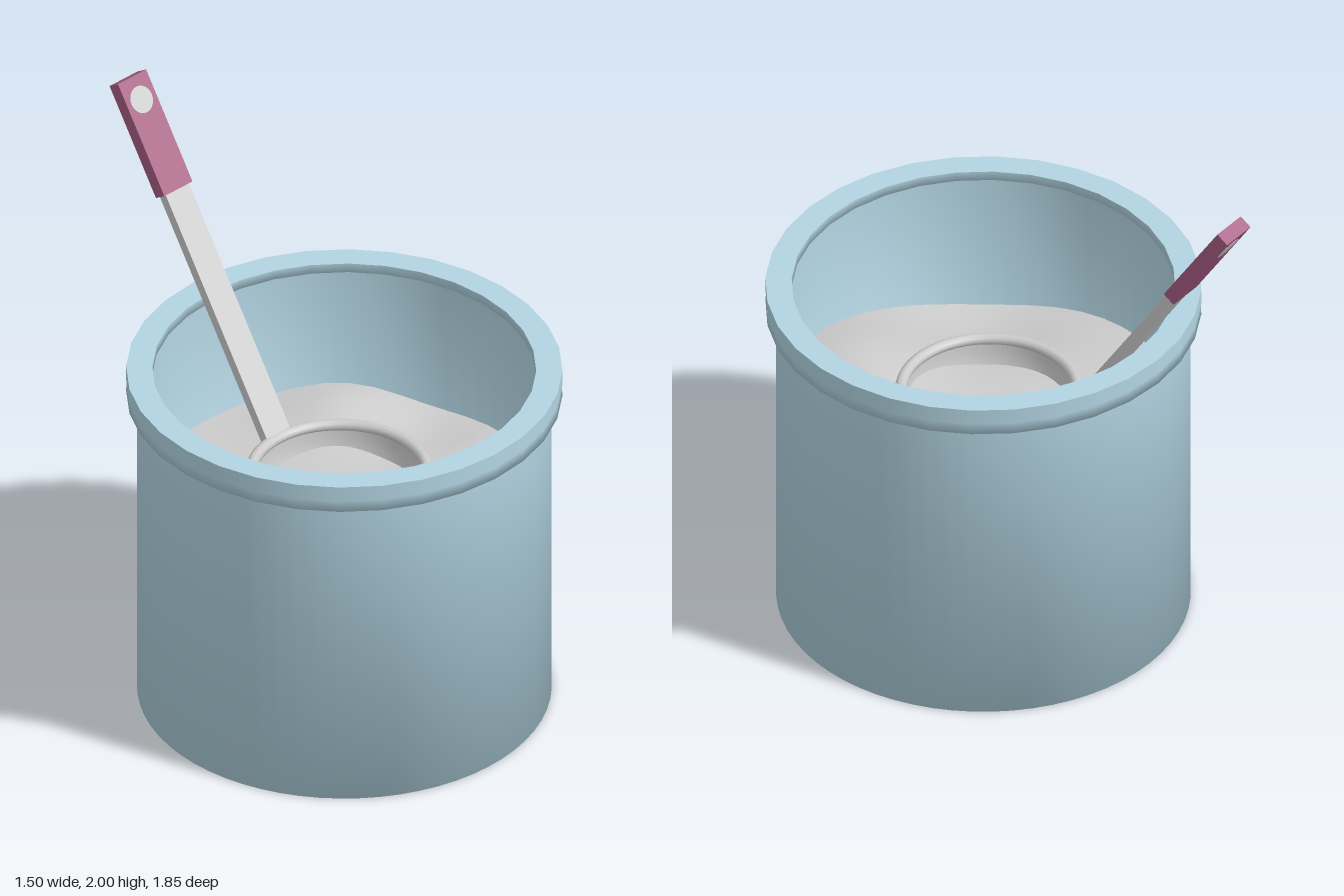
import * as THREE from 'three';

const BIN_Z = 0.175;
const paint = (color) => new THREE.MeshStandardMaterial({ color, side: THREE.DoubleSide });
const lathe = (points, segments) =>
  new THREE.LatheGeometry(points.map(([r, y]) => new THREE.Vector2(r, y)), segments);

// Uneven heap of flour: low mounds and hollows on a level base
function flourHeight(x, z) {
  const bumps = [
    [0.08, 0.68, 0.2, 0.08], [-0.25, 0.25, 0.22, 0.02], [0.36, -0.2, 0.16, 0.06],
    [0.42, 0.72, 0.14, -0.07], [0.5, -0.02, 0.14, -0.05], [-0.45, 0.5, 0.2, -0.06],
  ];
  return bumps.reduce((h, [bx, bz, s, a]) =>
    h + a * Math.exp(-((x - bx) ** 2 + (z - bz) ** 2) / (2 * s * s)), 0.765);
}

function flourGeometry() {
  const geo = new THREE.RingGeometry(0.001, 0.685, 48, 20).rotateX(-Math.PI / 2);
  const p = geo.attributes.position;
  for (let i = 0; i < p.count; i++) p.setY(i, flourHeight(p.getX(i), p.getZ(i) + BIN_Z));
  geo.computeVertexNormals();
  return geo;
}

export function createModel() {
  const model = new THREE.Group();
  const blue = paint(0xb2d4e2);
  const grey = paint(0xcccccc);
  const pink = paint(0xa65c82);

  const add = (parent, name, geometry, material, x = 0, y = 0, z = 0) => {
    const mesh = new THREE.Mesh(geometry, material);
    mesh.name = name;
    mesh.position.set(x, y, z);
    parent.add(mesh);
    return mesh;
  };

  // Round tub with a closed base, softly shaded into the wall
  const tub = new THREE.Group();
  tub.name = 'tub';
  tub.position.z = BIN_Z;
  model.add(tub);
  add(tub, 'outerWall', lathe([[0, 0], [0.713, 0], [0.713, 1.22]], 64), blue);
  add(tub, 'innerWall', lathe([[0.685, 1.27], [0.685, 0.04], [0, 0.04]], 64), blue);

  // Collar: flat top, upright band, shaded lower band and underside
  const sides = 32;
  add(tub, 'rimTop', lathe([[0.75, 1.3], [0.66, 1.3]], sides), blue);
  add(tub, 'rimBand', lathe([[0.75, 1.245], [0.75, 1.3]], sides), blue);
  add(tub, 'rimLowerBand', lathe([[0.70, 1.2], [0.75, 1.2], [0.748, 1.245]], sides), blue);
  add(tub, 'rimInside', lathe([[0.66, 1.3], [0.66, 1.265], [0.685, 1.265]], sides), blue);

  add(tub, 'flour', flourGeometry(), grey);

  // Scoop: round bowl with a rolled lip, sunk into the flour
  const scoop = new THREE.Group();
  scoop.name = 'scoop';
  model.add(scoop);
  const bowl = [];
  for (let i = 0; i <= 12; i++) {
    const a = (i / 12) * Math.PI / 2;
    bowl.push([0.295 * Math.sin(a), -0.295 * Math.cos(a)]);
  }
  add(scoop, 'bowl', lathe(bowl, 48), grey, 0, 0.86, 0.15);
  add(scoop, 'bowlLip', new THREE.TorusGeometry(0.304, 0.021, 10, 64).rotateX(Math.PI / 2),
    grey, 0, 0.86, 0.15);

  // Leaning handle: origin at the lower end of the grip, y along the handle
  const handle = new THREE.Group();
  handle.name = 'handle';
  handle.position.set(0, 1.635, -0.67);
  handle.rotation.x = -0.581;
  scoop.add(handle);
  add(handle, 'rod', new THREE.BoxGeometry(0.11, 0.95, 0.036), grey, 0, -0.465, 0);
  add(handle, 'grip', new THREE.BoxGeometry(0.134, 0.42, 0.05), pink, 0, 0.21, 0);
  add(handle, 'gripInset', new THREE.CylinderGeometry(0.048, 0.048, 0.053, 32).rotateX(Math.PI / 2),
    grey, 0, 0.335, 0);

  return model;
}
